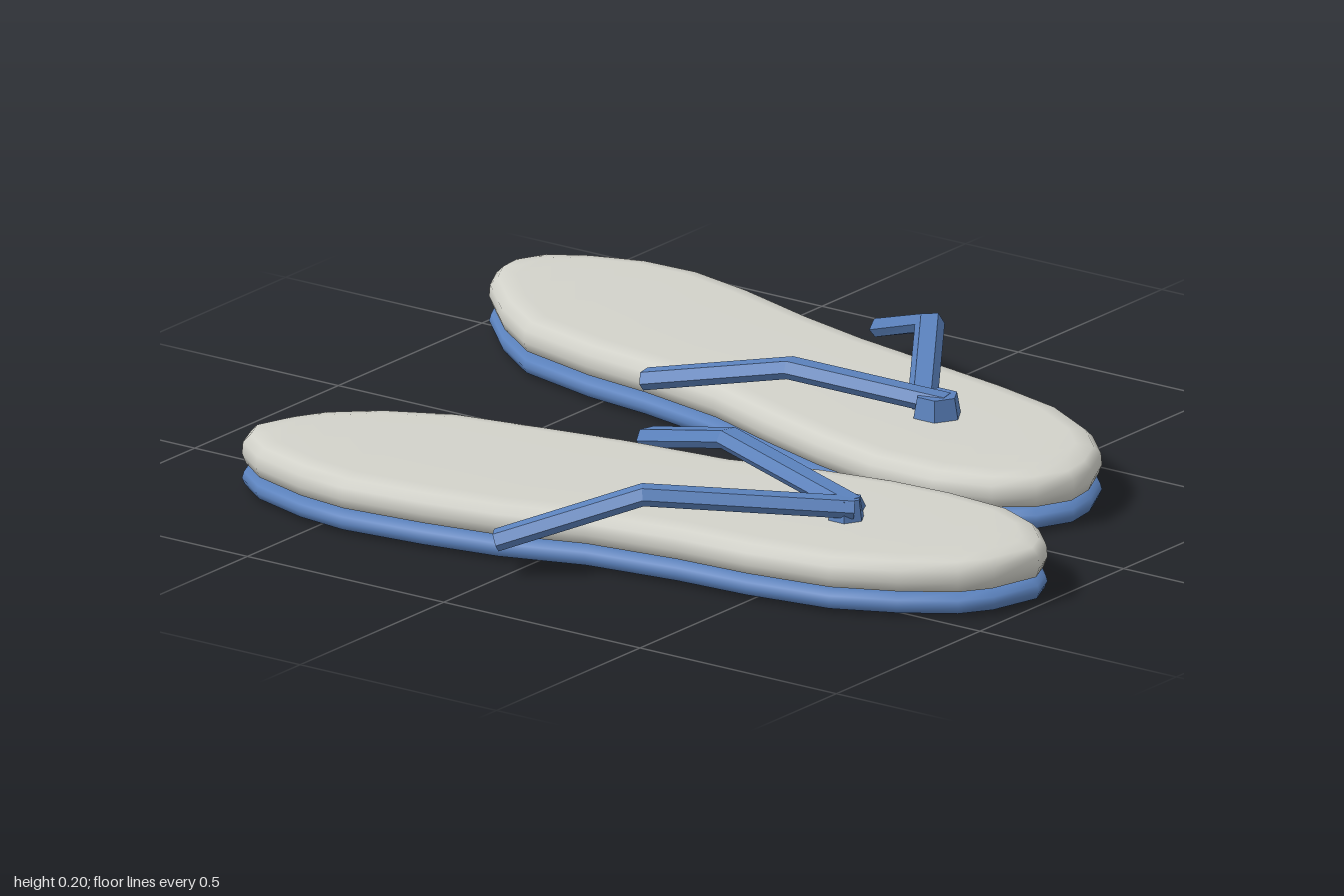
import * as THREE from 'three';

// Outlines as x,z pairs: heel, along the +x edge to the toe, back along the -x edge
const OUTLINE_RIGHT = [
  -.58, -.80, -.49, -.77, -.42, -.73, -.34, -.64, -.27, -.50, -.235, -.32, -.20, -.13,
  -.17, .13, -.115, .32, -.085, .48, -.077, .625, -.09, .78, -.14, .89, -.21, .96,
  -.28, .99, -.395, .96, -.46, .915, -.53, .81, -.59, .68, -.62, .49, -.63, .32,
  -.66, .11, -.72, -.07, -.75, -.24, -.77, -.43, -.755, -.55, -.71, -.69, -.65, -.77,
];
const OUTLINE_LEFT = [
  .60, -1, .67, -.965, .72, -.885, .76, -.77, .765, -.635, .73, -.48, .665, -.28,
  .62, -.105, .585, .08, .54, .31, .495, .48, .415, .62, .335, .70, .24, .745,
  .16, .757, .08, .72, .025, .645, -.01, .52, -.01, .36, .03, .196, .09, .016,
  .156, -.16, .20, -.37, .22, -.53, .27, -.725, .36, -.85, .47, -.96, .54, -.995,
];

// Edge profiles as [inset, y], bottom to top
const SOLE = [[.03, 0], [.006, .008], [0, .022], [.004, .036], [.025, .046]];
const FOOTBED = [[.035, .045], [.008, .054], [0, .075], [.002, .1], [.018, .116], [.055, .122]];

function buildGeometry(position, index) {
  const g = new THREE.BufferGeometry();
  g.setAttribute('position', new THREE.Float32BufferAttribute(position, 3));
  g.setIndex(index);
  g.computeVertexNormals();
  return g;
}

// Stack of inset outlines, closed by strips across the top and bottom
function slab(outline, profile) {
  const n = outline.length / 2, position = [], index = [];
  const at = (i) => new THREE.Vector2(outline[((i + n) % n) * 2], outline[((i + n) % n) * 2 + 1]);
  for (const [inset, y] of profile) {
    for (let i = 0; i < n; i++) {
      const t = at(i + 1).sub(at(i - 1)).normalize(), p = at(i);
      position.push(p.x - t.y * inset, y, p.y + t.x * inset);
    }
  }
  for (let r = 0; r < profile.length - 1; r++) {
    for (let i = 0; i < n; i++) {
      const a = r * n + i, b = r * n + (i + 1) % n;
      index.push(a, a + n, b, b, a + n, b + n);
    }
  }
  const top = (profile.length - 1) * n;
  for (let i = 0; i < n / 2; i++) {
    const A = i, B = (n - i) % n, C = n - i - 1, D = i + 1;
    if (A !== B) index.push(top + A, top + B, top + C, A, C, B);
    if (C !== D) index.push(top + A, top + C, top + D, A, D, C);
  }
  return buildGeometry(position, index);
}

// Six-sided ridged band swept along a polyline
const BAND = [[-.031, -.004], [-.018, .018], [.018, .018], [.031, -.004], [.02, -.02], [-.02, -.02]];
function strapGeometry(points) {
  const path = points.map((p) => new THREE.Vector3(...p));
  const n = BAND.length, position = [], index = [];
  path.forEach((p, k) => {
    const before = path[Math.max(k - 1, 0)], after = path[Math.min(k + 1, path.length - 1)];
    const t = after.clone().sub(before).normalize();
    const side = new THREE.Vector3(-t.z, 0, t.x).normalize();
    const up = side.clone().cross(t);
    for (const [u, v] of BAND) {
      position.push(...p.clone().addScaledVector(side, u).addScaledVector(up, v).toArray());
    }
  });
  for (let k = 0; k < path.length - 1; k++) {
    for (let i = 0; i < n; i++) {
      const a = k * n + i, b = k * n + (i + 1) % n;
      index.push(a, a + n, b, b, a + n, b + n);
    }
  }
  const last = (path.length - 1) * n;
  for (let i = 1; i < n - 1; i++) index.push(0, i, i + 1, last, last + i + 1, last + i);
  return buildGeometry(position, index);
}

export function createModel() {
  const cream = new THREE.MeshStandardMaterial({ color: 0xd2d2ca });
  cream.name = 'warm grey footbed';
  const blue = new THREE.MeshStandardMaterial({ color: 0x5b82bd });
  blue.name = 'blue rubber';
  const strapBlue = blue.clone();
  strapBlue.name = 'blue strap';
  strapBlue.flatShading = true;
  strapBlue.side = THREE.DoubleSide;

  const sandals = [
    {
      name: 'rightSandal', outline: OUTLINE_RIGHT, toe: [-.365, .56], knob: .042,
      inner: [[-.365, .15, .58], [-.235, .183, .165], [-.152, .11, -.1]],
      outer: [[-.365, .15, .58], [-.635, .183, .24], [-.79, .075, -.02]],
    },
    {
      name: 'leftSandal', outline: OUTLINE_LEFT, toe: [.28, .32], knob: .056,
      inner: [[.285, .15, .34], [.205, .183, 0], [.147, .11, -.325]],
      outer: [[.27, .15, .29], [.61, .183, .06], [.79, .075, -.19]],
    },
  ];

  const model = new THREE.Group();
  model.name = 'sandals';
  for (const s of sandals) {
    const sandal = new THREE.Group();
    sandal.name = s.name;
    const add = (name, geometry, material) => {
      const mesh = new THREE.Mesh(geometry, material);
      mesh.name = name;
      sandal.add(mesh);
      return mesh;
    };
    add('sole', slab(s.outline, SOLE), blue);
    add('footbed', slab(s.outline, FOOTBED), cream);
    add('innerStrap', strapGeometry(s.inner), strapBlue);
    add('outerStrap', strapGeometry(s.outer), strapBlue);
    // Post between the toes
    const post = add('toePost', new THREE.CylinderGeometry(s.knob * .8, s.knob, .06, 6), strapBlue);
    post.position.set(s.toe[0], .137, s.toe[1]);
    model.add(sandal);
  }
  return model;
}
